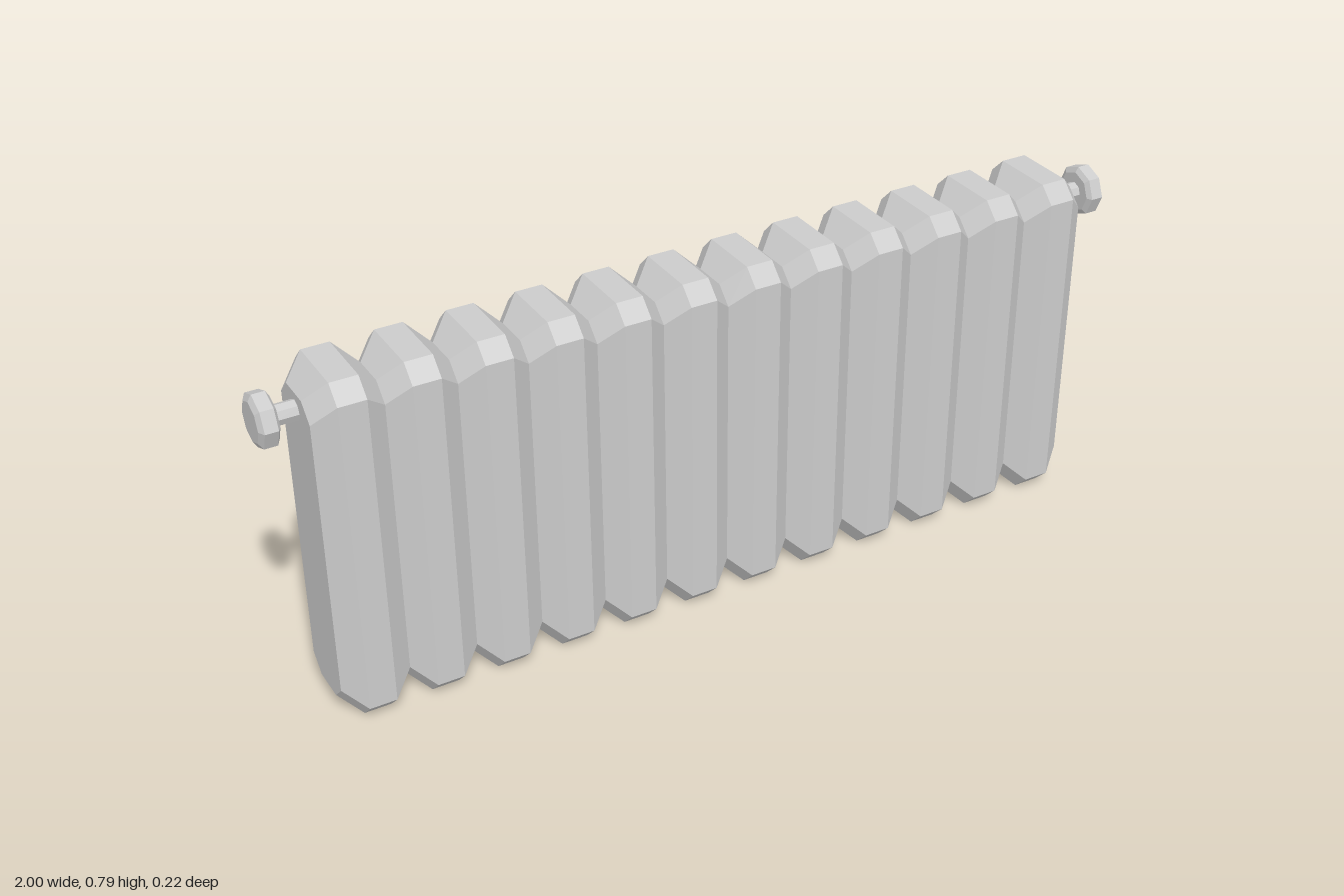
import * as THREE from 'three';
import { ConvexGeometry } from 'three/addons/geometries/ConvexGeometry.js';

const HEIGHT = 0.792, COUNT = 12, PITCH = 1.82 / COUNT;
const material = new THREE.MeshStandardMaterial({ color: 0xcccccc, flatShading: true });

// Upright octagon of chamfered-rectangle corners in the plane at x
function outline(x, halfZ, halfY, chamfer) {
  const points = [];
  for (const sy of [-1, 1]) for (const sz of [-1, 1]) {
    points.push(new THREE.Vector3(x, HEIGHT / 2 + sy * (halfY - chamfer), sz * halfZ));
    points.push(new THREE.Vector3(x, HEIGHT / 2 + sy * halfY, sz * (halfZ - chamfer)));
  }
  return points;
}

// One column: wide flat middle band, bevelled in towards its neighbours
function columnGeometry() {
  const points = [];
  for (const s of [-1, 1]) {
    points.push(...outline(s * 0.03, 0.108, HEIGHT / 2, 0.036));
    points.push(...outline(s * PITCH / 2, 0.075, HEIGHT / 2 - 0.043, 0.036));
  }
  return new ConvexGeometry(points);
}

// Eight-sided stem and bevelled hand wheel, pointing along +y
function valveGeometry() {
  const profile = [
    [0, 0], [0.022, 0], [0.022, 0.057], [0.046, 0.057], [0.058, 0.064],
    [0.058, 0.092], [0.044, 0.1], [0, 0.1],
  ].map(([r, y]) => new THREE.Vector2(r, y));
  return new THREE.LatheGeometry(profile, 8);
}

export function createModel() {
  const model = new THREE.Group();
  model.name = 'radiator';

  const columns = new THREE.Group();
  columns.name = 'columns';
  const column = columnGeometry();
  for (let i = 0; i < COUNT; i++) {
    const mesh = new THREE.Mesh(column, material);
    mesh.name = `column${i + 1}`;
    mesh.position.x = (i - (COUNT - 1) / 2) * PITCH;
    columns.add(mesh);
  }
  model.add(columns);

  // Valves at both ends
  const valve = valveGeometry();
  for (const [name, side] of [['leftValve', 1], ['rightValve', -1]]) {
    const mesh = new THREE.Mesh(valve, material);
    mesh.name = name;
    mesh.position.set(side * 0.9, 0.71, 0);
    mesh.rotation.z = -side * Math.PI / 2;
    model.add(mesh);
  }
  return model;
}
